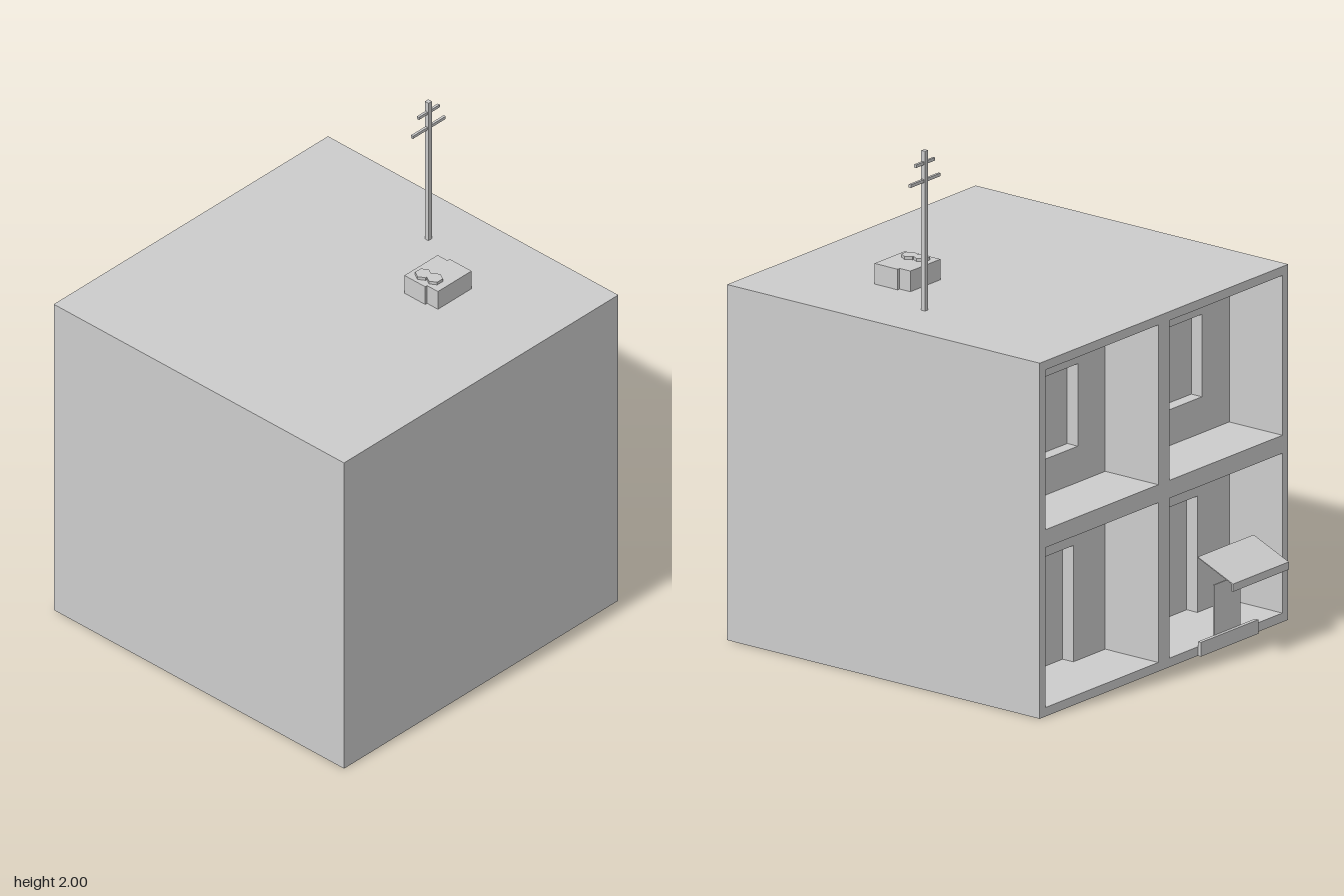
import * as THREE from 'three';

const wall = new THREE.MeshStandardMaterial({ color: 0xcccccc });
wall.name = 'plain grey';

function add(parent, name, geometry, x = 0, y = 0, z = 0) {
  const mesh = new THREE.Mesh(geometry, wall);
  mesh.name = name;
  mesh.position.set(x, y, z);
  parent.add(mesh);
  return mesh;
}

// Box given by its min and max corners
function block(parent, name, [x0, y0, z0], [x1, y1, z1]) {
  return add(parent, name, new THREE.BoxGeometry(x1 - x0, y1 - y0, z1 - z0),
    (x0 + x1) / 2, (y0 + y1) / 2, (z0 + z1) / 2);
}

function rect(Type, x0, y0, x1, y1) {
  return new Type([[x0, y0], [x1, y0], [x1, y1], [x0, y1]].map(p => new THREE.Vector2(...p)));
}

// Upright slab pierced by rectangular holes
function piercedSlab(parent, name, outer, holes, z, depth) {
  const shape = rect(THREE.Shape, ...outer);
  holes.forEach(h => shape.holes.push(rect(THREE.Path, ...h)));
  return add(parent, name, new THREE.ExtrudeGeometry(shape, { depth, bevelEnabled: false }), 0, 0, z);
}

const HALF = 0.735, STOREY = 0.69, BACK = -0.65, FRONT = 0.82;
const BAY_X = 0.367, BAY_DEPTH = 0.25, REVEAL = 0.05;

function storey(level) {
  const g = new THREE.Group();
  g.name = level ? 'upperStorey' : 'lowerStorey';
  g.position.y = level * STOREY;
  const outer = [-HALF, 0, HALF, STOREY];
  const centres = [-BAY_X, BAY_X];

  // Open bays, then the wall with its windows or doorways, then the solid mass
  const bays = centres.map(c => [c - 0.334, 0.035, c + 0.334, 0.655]);
  const openings = centres.map(c => level
    ? [c - 0.172, 0.175, c + 0.172, 0.495]
    : [c - 0.145, 0.035, c + 0.145, 0.486]);
  piercedSlab(g, 'bayFrame', outer, bays, BACK, BAY_DEPTH);
  piercedSlab(g, level ? 'windowWall' : 'doorWall', outer, openings, BACK + BAY_DEPTH, REVEAL);
  block(g, 'mass', [-HALF, 0, BACK + BAY_DEPTH + REVEAL], [HALF, STOREY, FRONT]);
  return g;
}

function entrance() {
  const g = new THREE.Group();
  g.name = 'entrance';
  block(g, 'step', [-0.54, 0, -0.665], [-0.2, 0.055, BACK]);
  block(g, 'entrancePanel', [-0.45, 0.03, -0.652], [-0.295, 0.25, -0.646]);

  // Sloping canopy with a hanging front edge
  const canopy = new THREE.Shape([[-0.65, 0.38], [-0.808, 0.312], [-0.808, 0.283],
    [-0.816, 0.283], [-0.816, 0.313], [-0.65, 0.384]].map(p => new THREE.Vector2(...p)));
  const geo = new THREE.ExtrudeGeometry(canopy, { depth: 0.33, bevelEnabled: false });
  geo.rotateY(-Math.PI / 2);
  add(g, 'canopy', geo, -0.2, 0, 0);
  return g;
}

function roofUnit(top) {
  const g = new THREE.Group();
  g.name = 'roofUnit';
  // Cabinet with offset side panels
  block(g, 'cabinet', [0.213, top, 0.24], [0.381, top + 0.08, 0.4]);
  block(g, 'sidePanel', [0.203, top, 0.24], [0.213, top + 0.08, 0.345]);
  block(g, 'sidePanel', [0.381, top, 0.29], [0.393, top + 0.08, 0.4]);
  // Six-sided vent caps
  for (const [x, z] of [[0.249, 0.292], [0.257, 0.342]]) {
    const cap = new THREE.CylinderGeometry(0.031, 0.031, 0.012, 6).rotateY(Math.PI / 6).toNonIndexed();
    cap.computeVertexNormals();
    add(g, 'ventCap', cap, x, top + 0.086, z);
  }
  return g;
}

function antenna(top) {
  const g = new THREE.Group();
  g.name = 'antenna';
  g.position.set(0.515, 0, 0.066);
  block(g, 'mast', [-0.009, top, -0.009], [0.009, 2, 0.009]);
  for (const [y, half] of [[1.953, 0.056], [1.884, 0.088]]) {
    block(g, 'crossbar', [-half, y - 0.006, -0.005], [half, y + 0.006, 0.005]);
  }
  return g;
}

export function createModel() {
  const model = new THREE.Group();
  model.name = 'building';
  model.add(storey(0), storey(1), entrance(), roofUnit(2 * STOREY), antenna(2 * STOREY));
  return model;
}
